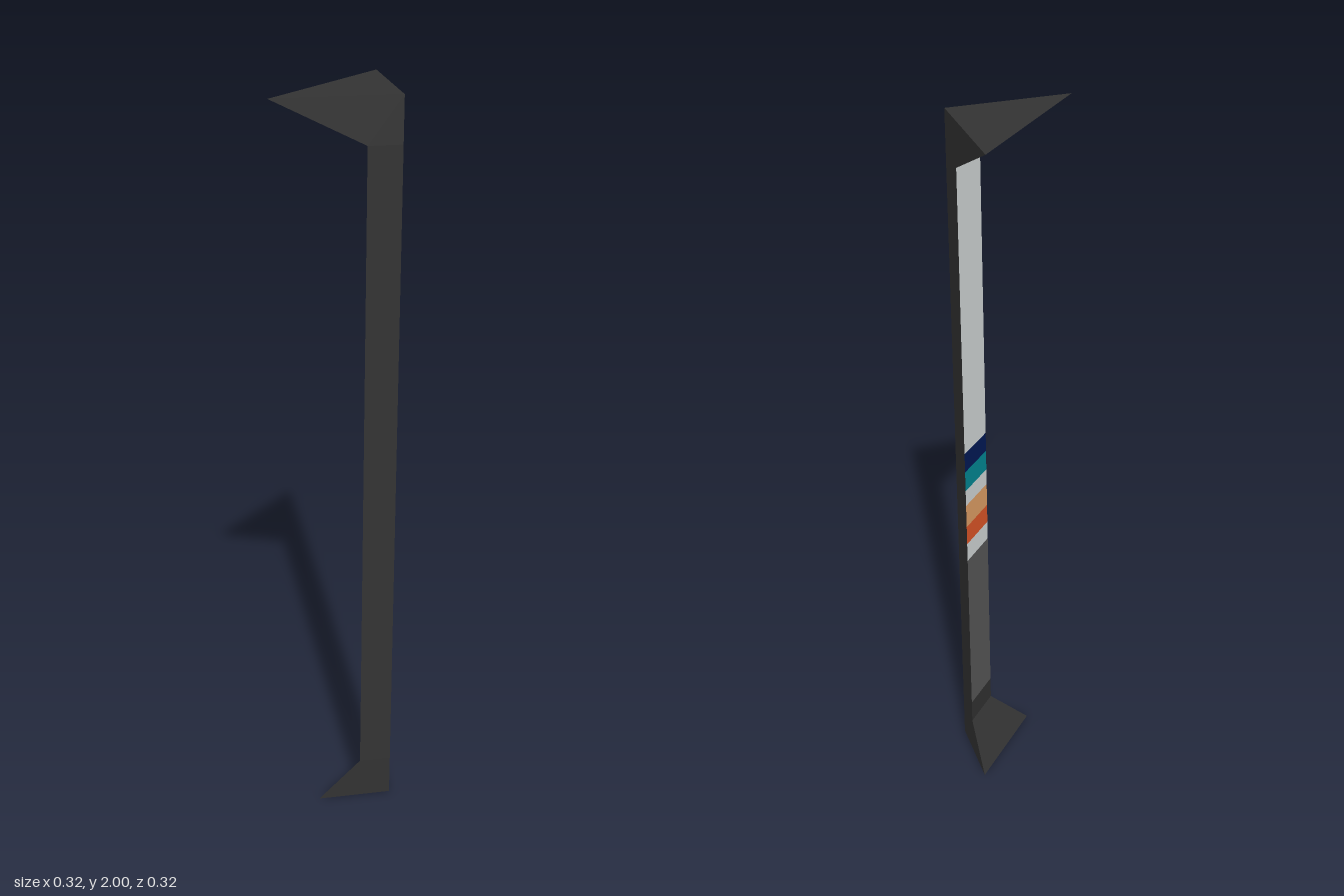
import * as THREE from 'three';

const CORNER = 0.162; // the square outer edge runs up x = z = CORNER

const mat = (name, color) => {
  const m = new THREE.MeshStandardMaterial({ color });
  m.name = name;
  return m;
};

// Right-triangle section, corners counter-clockwise seen from above
const section = (leg, y) => [
  [CORNER, y, CORNER],
  [CORNER, y, CORNER - leg],
  [CORNER - leg, y, CORNER],
];

// Loft between two triangular sections; sides lists which walls to build
function loft(y0, leg0, y1, leg1, sides, capTop, capBottom) {
  const lo = section(leg0, y0), hi = section(leg1, y1), pos = [];
  for (const i of sides) {
    const j = (i + 1) % 3;
    for (const p of [lo[i], lo[j], hi[j], lo[i], hi[j], hi[i]]) pos.push(...p);
  }
  if (capTop) for (const i of [0, 1, 2]) pos.push(...hi[i]);
  if (capBottom) for (const i of [0, 2, 1]) pos.push(...lo[i]);
  const geo = new THREE.BufferGeometry();
  geo.setAttribute('position', new THREE.Float32BufferAttribute(pos, 3));
  geo.computeVertexNormals();
  return geo;
}

export function createModel() {
  const group = new THREE.Group();
  const body = mat('charcoal', 0x333333);
  const grey = mat('light grey', 0xd9dede);
  const dark = mat('mid grey', 0x5a5a5a);
  const navy = mat('navy', 0x001a58);
  const teal = mat('teal', 0x008c98);
  const tan = mat('tan', 0xeaa66a);
  const rust = mat('rust orange', 0xe45828);

  const add = (name, geo, material) => {
    const mesh = new THREE.Mesh(geo, material);
    mesh.name = name;
    group.add(mesh);
  };

  const leg = 0.087, shaftLow = 0.118, shaftHigh = 1.882;

  // Flared foot, outer shaft walls and flared capital
  add('foot', loft(0, 0.205, shaftLow, leg, [0, 1, 2], false, true), body);
  add('shaftOuterWalls', loft(shaftLow, leg, shaftHigh, leg, [0, 2]), body);
  add('capital', loft(shaftHigh, leg, 2, 0.324, [0, 1, 2], true, false), body);

  // Painted bands on the diagonal inner wall, bottom to top
  const bands = [
    ['skirtingBand', 0.19, body],
    ['lowerPanel', 0.72, dark],
    ['lowerGreyBand', 0.778, grey],
    ['rustStripe', 0.836, rust],
    ['tanStripe', 0.907, tan],
    ['middleGreyBand', 0.956, grey],
    ['tealStripe', 1.017, teal],
    ['navyStripe', 1.075, navy],
    ['upperPanel', shaftHigh, grey],
  ];
  let y = shaftLow;
  for (const [name, top, material] of bands) {
    add(name, loft(y, leg, top, leg, [1]), material);
    y = top;
  }
  return group;
}
